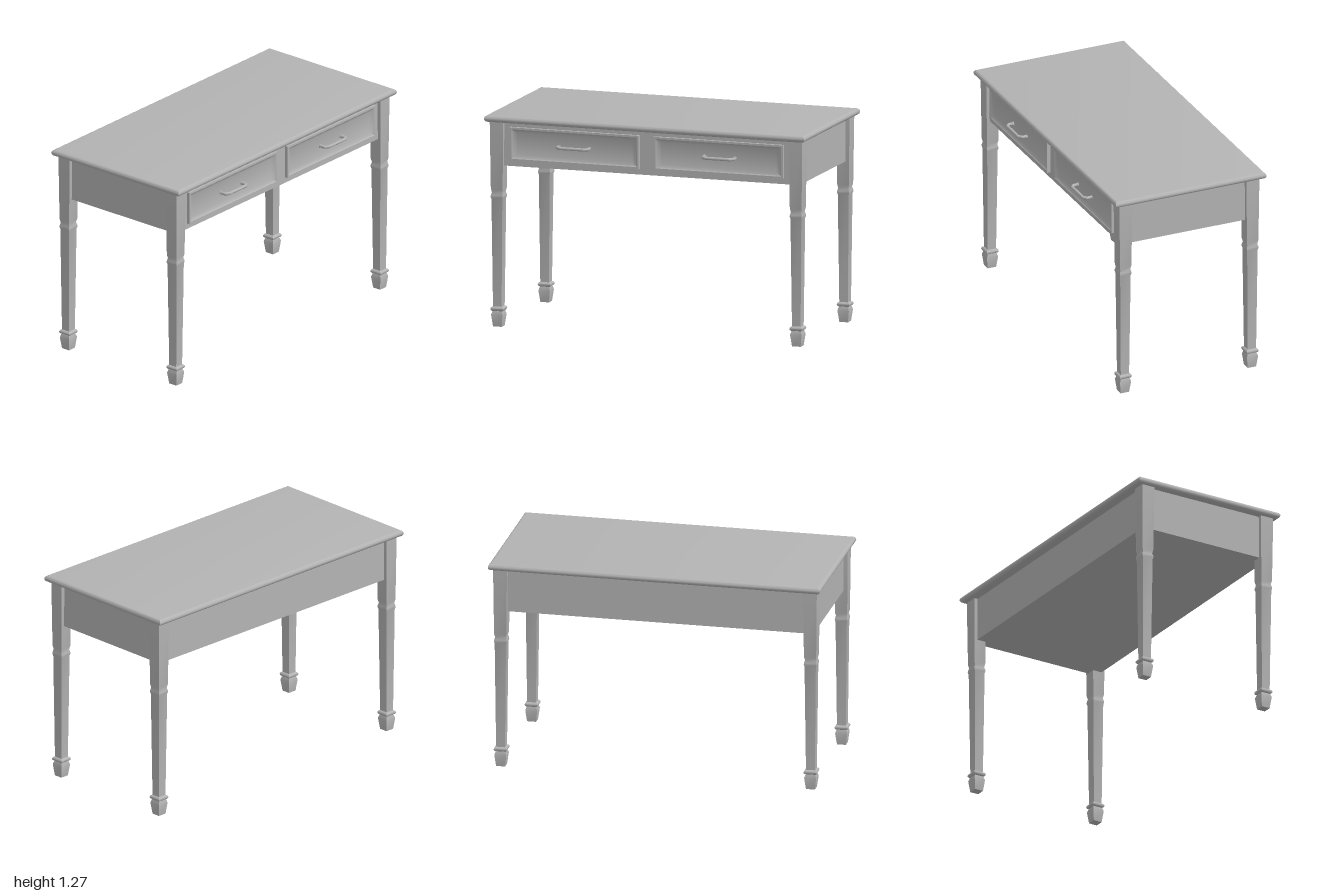
import * as THREE from 'three';
import { toCreasedNormals } from 'three/addons/utils/BufferGeometryUtils.js';

const paint = new THREE.MeshStandardMaterial({ color: 0xb3b3b3 });
paint.name = 'grey paint';

// Closed solid through rectangular sections [halfX, halfZ, y], listed upwards
function loft(sections) {
  const pos = [];
  const index = [];
  for (const [hx, hz, y] of sections) {
    pos.push(hx, y, hz, hx, y, -hz, -hx, y, -hz, -hx, y, hz);
  }
  const last = (sections.length - 1) * 4;
  for (let s = 0; s < last; s += 4) {
    for (let i = 0; i < 4; i++) {
      const a = s + i, b = s + ((i + 1) % 4);
      index.push(a, b, b + 4, a, b + 4, a + 4);
    }
  }
  index.push(0, 2, 1, 0, 3, 2, last, last + 1, last + 2, last, last + 2, last + 3);
  const geo = new THREE.BufferGeometry();
  geo.setAttribute('position', new THREE.Float32BufferAttribute(pos, 3));
  geo.setIndex(index);
  return toCreasedNormals(geo, 0.6);
}

// Sections of a half-round moulding between two heights
function roundEdge(hx, hz, y0, y1, steps) {
  const r = (y1 - y0) / 2;
  return Array.from({ length: steps + 1 }, (_, i) => {
    const a = -Math.PI / 2 + (Math.PI * i) / steps;
    const inset = r * (1 - Math.cos(a));
    return [hx - inset, hz - inset, y0 + r + r * Math.sin(a)];
  });
}

function addMesh(parent, name, geometry, x = 0, y = 0, z = 0) {
  const mesh = new THREE.Mesh(geometry, paint);
  mesh.name = name;
  mesh.position.set(x, y, z);
  parent.add(mesh);
  return mesh;
}

export function createModel() {
  const desk = new THREE.Group();
  desk.name = 'desk';

  // Top with half-round edge and sharp mitred corners
  addMesh(desk, 'tableTop', loft(roundEdge(1, 0.488, 1.228, 1.268, 10)));

  // Solid apron, set in slightly from the legs
  addMesh(desk, 'apron', new THREE.BoxGeometry(1.9, 0.264, 0.86), 0, 1.097, 0);

  // Square tapered legs: foot, ring, shaft, collar, upper block
  const square = (h, y) => [h, h, y];
  const legGeo = loft([
    square(0.027, 0), square(0.036, 0.07), square(0.029, 0.092),
    ...roundEdge(0.039, 0.039, 0.092, 0.12, 8),
    square(0.027, 0.12), square(0.034, 0.763),
    square(0.038, 0.776), square(0.037, 0.785), square(0.032, 0.802),
    square(0.037, 0.825), square(0.042, 1.23),
  ]);
  for (const sx of [-1, 1]) {
    for (const sz of [-1, 1]) {
      const name = (sz > 0 ? 'front' : 'back') + (sx > 0 ? 'Left' : 'Right') + 'Leg';
      addMesh(desk, name, legGeo, sx * 0.934, 0, sz * 0.411);
    }
  }

  // Drawer front: flat rim, then a bevel down to a sunken panel
  const drawerGeo = loft([
    [0.404, 0.1, 0], [0.404, 0.1, 0.022], [0.392, 0.088, 0.022],
    [0.386, 0.082, 0.017], [0.358, 0.066, 0.008],
  ]).rotateX(Math.PI / 2);

  // Bar pull with bent ends
  const path = new THREE.CurvePath();
  const points = [[-0.095, 0], [-0.095, 0.032], [-0.075, 0.048], [0.075, 0.048], [0.095, 0.032], [0.095, 0]]
    .map(([x, z]) => new THREE.Vector3(x, 0, z));
  for (let i = 1; i < points.length; i++) path.add(new THREE.LineCurve3(points[i - 1], points[i]));
  const pullGeo = new THREE.TubeGeometry(path, 60, 0.0095, 12);
  const roseGeo = new THREE.CylinderGeometry(0.012, 0.012, 0.008, 16).rotateX(Math.PI / 2);

  for (const side of [-1, 1]) {
    const drawer = new THREE.Group();
    drawer.name = side > 0 ? 'leftDrawer' : 'rightDrawer';
    drawer.position.set(side * 0.45, 1.1, 0.428);
    addMesh(drawer, 'drawerFront', drawerGeo);
    addMesh(drawer, 'handle', pullGeo, side * 0.005, 0, 0.008);
    for (const e of [-1, 1]) addMesh(drawer, 'handleBase', roseGeo, side * 0.005 + e * 0.095, 0, 0.012);
    desk.add(drawer);
  }
  return desk;
}
